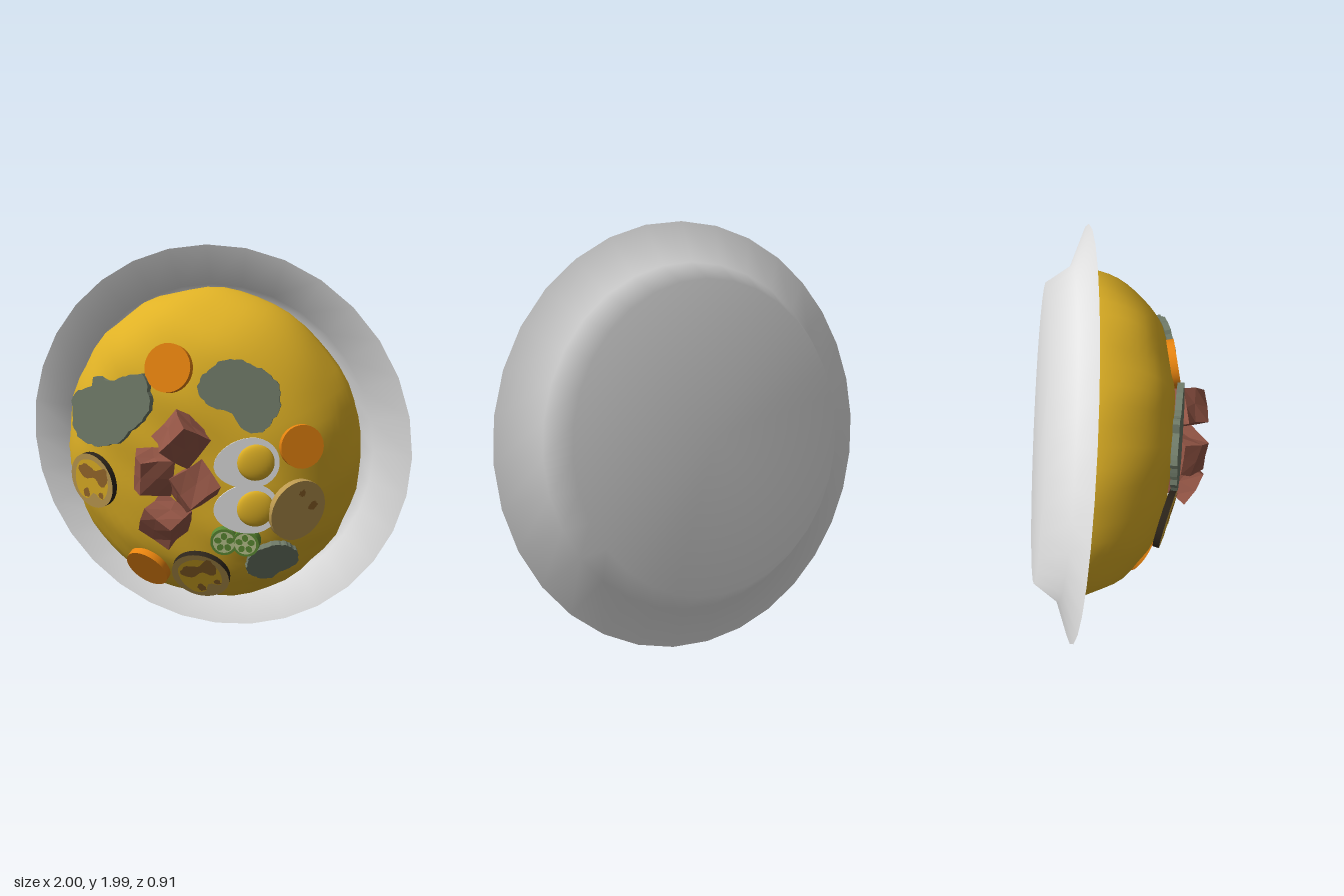
import * as THREE from 'three';
import { mergeVertices } from 'three/addons/utils/BufferGeometryUtils.js';

const mat = (name, color, extra = {}) => {
  const m = new THREE.MeshStandardMaterial({ color, ...extra });
  m.name = name;
  return m;
};

export function createModel() {
  const M = {
    white: mat('white', 0xe6e6e6, { side: THREE.DoubleSide }),
    curry: mat('curryYellow', 0xdfb125),
    carrot: mat('carrotOrange', 0xea850f),
    meat: mat('meatBrown', 0x935545, { flatShading: true }),
    leaf: mat('leafGrey', 0x6f7a68),
    potato: mat('potatoTan', 0xbd9a50),
    crust: mat('crustBrown', 0x97692b),
    skin: mat('skinDark', 0x2c241a),
    green: mat('podGreen', 0x5b8a33),
    pale: mat('podPale', 0xb9c48c),
  };
  const model = new THREE.Group();
  model.name = 'bowlOfCurry';

  const add = (parent, name, geometry, material, x = 0, y = 0, z = 0) => {
    const mesh = new THREE.Mesh(geometry, material);
    mesh.name = name;
    mesh.position.set(x, y, z);
    parent.add(mesh);
    return mesh;
  };
  const V2 = (x, y) => new THREE.Vector2(x, y);

  // Dish frame: local z points out of the dish, origin at the rim centre
  const dish = new THREE.Group();
  dish.name = 'dish';
  dish.position.set(0, 1, -0.18);
  dish.rotation.set(0.11, -0.055, 0);
  model.add(dish);

  // Plate with flared rim
  const plate = new THREE.LatheGeometry(
    [V2(0, -0.18), V2(0.725, -0.18), V2(0.81, -0.065), V2(1.003, 0)], 32);
  add(dish, 'plate', plate.rotateX(Math.PI / 2), M.white);

  // Curry mound: a flattened dome with a gently lumpy surface
  const SX = 0.95;
  const height = (x, y) => {
    const u = Math.min(Math.hypot(x / SX, y) / 0.8, 0.99);
    return 0.43 * Math.pow(1 - u ** 4, 0.6);
  };
  const profile = [V2(0.71, -0.17), V2(0.79, -0.06)];
  for (let i = 0; i <= 20; i++) {
    const r = 0.8 * Math.cos((i / 20) * Math.PI / 2);
    profile.push(V2(r, i === 0 ? 0 : 0.43 * Math.pow(1 - (r / 0.8) ** 4, 0.6)));
  }
  let mound = new THREE.LatheGeometry(profile, 56).rotateX(Math.PI / 2).scale(SX, 1, 1);
  mound.deleteAttribute('uv');
  mound.deleteAttribute('normal');
  mound = mergeVertices(mound, 1e-4);
  const mp = mound.attributes.position;
  for (let i = 0; i < mp.count; i++) {
    const x = mp.getX(i), y = mp.getY(i), z = mp.getZ(i);
    const n = Math.sin(13 * x + 5 * y) * Math.cos(11 * y - 7 * z) + 0.6 * Math.sin(23 * y + 17 * z + 9 * x);
    const k = 1 + 0.009 * n;
    mp.setXYZ(i, x * k, y * k, z * k);
  }
  mound.computeVertexNormals();
  add(dish, 'curryMound', mound, M.curry);

  // Group resting on the mound at front position (X, Y), its z along the surface normal
  const rest = (name, X, Y, lift = 0.01) => {
    let x = X, y = Y - 1;
    for (let i = 0; i < 3; i++) {
      const h = height(x, y);
      x = X + 0.055 * h;
      y = Y - 1 + 0.11 * h;
    }
    const e = 0.02;
    const n = new THREE.Vector3(
      (height(x - e, y) - height(x + e, y)) / (2 * e),
      (height(x, y - e) - height(x, y + e)) / (2 * e), 1).normalize();
    const g = new THREE.Group();
    g.name = name;
    g.quaternion.setFromUnitVectors(new THREE.Vector3(0, 0, 1), n);
    g.position.set(x, y, height(x, y)).addScaledVector(n, lift);
    dish.add(g);
    return g;
  };
  const disc = (r, t) => new THREE.CylinderGeometry(r, r, t, 32).rotateX(Math.PI / 2);

  // Smooth closed outline through [x, y] pairs in hundredths, with optional ragged edge
  const outline = (pairs, count = 32, ragged = 0) => {
    const curve = new THREE.CatmullRomCurve3(
      pairs.map(([x, y]) => new THREE.Vector3(x / 100, y / 100, 0)), true);
    return new THREE.Shape(curve.getSpacedPoints(count).slice(0, count).map((p, i) => {
      const k = 1 + ragged * (Math.sin(i * 2.3) + Math.sin(i * 1.1 + 1));
      return V2(p.x * k, p.y * k);
    }));
  };

  // Carrot slices
  for (const [x, y, r] of [[-0.09, 1.43, 0.113], [0.515, 1.09, 0.1], [-0.25, 0.425, 0.115]])
    add(rest('carrotSlice', x, y), 'carrot', disc(r, 0.035), M.carrot);

  // Ragged leaves
  const leaves = [
    [-0.375, 1.22, [[-21, -10], [-21, 7], [-11, 11], [-10, 16], [-2, 14], [17, 18], [21, 11], [21, 1], [11, -9], [4, -15], [-13, -17]]],
    [0.24, 1.31, [[-17, 8], [-11, 14], [-4, 17], [7, 14], [17, 7], [18, -6], [9, -16], [1, -13], [-3, -7], [-11, -5], [-18, 1]]],
    [0.37, 0.525, [[-12, -3], [-9, 7], [4, 11], [12, 5], [12, -3], [3, -8], [-1, -11], [-9, -8]]],
  ];
  for (const [x, y, pts] of leaves)
    add(rest('leaf', x, y, 0.0), 'leafBlade', new THREE.ExtrudeGeometry(
      outline(pts, 60, 0.018), { depth: 0.03, bevelEnabled: false }), M.leaf);

  // Potato slices with browned patches
  const soft = [[-9, -8], [-11, 0], [-7, 9], [2, 11], [9, 7], [11, -1], [6, -9], [1, -6], [-4, -10]];
  const browned = [
    [[-8, 5], [-3, 9], [3, 6], [10, 8], [11, 1], [6, -2], [3, 2], [-4, 1]],
    [[-6, -6], [-3, -4], [-2, -8], [-5, -9]],
    [[4, -6], [7, -5], [7, -8], [5, -8]],
  ];
  const slices = [[-0.5, 0.865, 0.14, 0, M.skin, 0], [0.03, 0.425, 0.143, 0, M.skin, 0.5], [0.495, 0.79, 0.148, 0.32, M.potato, 2.2]];
  slices.forEach(([x, y, r, tilt, side, spin], i) => {
    const g = rest('potatoSlice', x, y, 0.012);
    const slice = new THREE.Group();
    slice.name = 'slice';
    slice.rotation.set(0, tilt, spin);
    g.add(slice);
    add(slice, 'potato', disc(r, 0.03), [side, M.potato, M.potato]);
    if (i < 2) add(slice, 'softPatch', new THREE.ShapeGeometry(outline(soft)), M.curry, 0, 0, 0.017);
    browned.slice(i === 2 ? 1 : 0).forEach((b) =>
      add(slice, 'brownPatch', new THREE.ShapeGeometry(outline(b, 28, 0.03)), M.crust, 0, 0, 0.019));
  });

  // Green pod slices with pale flesh and seed pockets
  for (const [x, y, tilt] of [[0.165, 0.63, 0.15], [0.268, 0.63, -0.1]]) {
    const g = rest('podSlice', x, y, 0.025);
    const pod = new THREE.Group();
    pod.name = 'pod';
    pod.rotation.set(-0.15, tilt, 0);
    g.add(pod);
    add(pod, 'podRind', disc(0.064, 0.06), M.green);
    add(pod, 'podFlesh', new THREE.CircleGeometry(0.052, 24), M.pale, 0, 0, 0.032);
    for (let i = 0; i < 5; i++) {
      const a = (i / 5) * Math.PI * 2 + 0.3;
      const pocket = add(pod, 'seedPocket', new THREE.CircleGeometry(0.016, 10).scale(1.1, 0.95, 1),
        M.green, 0.03 * Math.cos(a), 0.03 * Math.sin(a), 0.034);
      pocket.rotation.z = a;
    }
  }

  // Meat chunks: uneven boxes
  const chunks = [
    [-0.01, 1.12, 0.345, 0.5, 0.5, 0.75], [-0.145, 0.955, 0.335, 0.3, 0.45, -0.15],
    [0.04, 0.895, 0.335, -0.45, 0.4, 0.7], [-0.09, 0.73, 0.335, 0.5, -0.4, -0.35],
  ];
  chunks.forEach(([x, y, z, rx, ry, rz], s) => {
    const geo = new THREE.BoxGeometry(0.165, 0.165, 0.15, 2, 2, 2);
    const p = geo.attributes.position;
    for (let i = 0; i < p.count; i++) {
      const [a, b, c] = [p.getX(i), p.getY(i), p.getZ(i)];
      const j = (k) => 0.009 * Math.sin(61 * a + 83 * b * k + 47 * c + 2.1 * s + k);
      p.setXYZ(i, a + j(1), b + j(2), c + j(3));
    }
    geo.computeVertexNormals();
    add(model, 'meatChunk', geo, M.meat, x, y, z).rotation.set(rx, ry, rz);
  });

  // Halved eggs, cut face turned slightly to the left side
  const taper = (geo) => {
    const p = geo.attributes.position;
    for (let i = 0; i < p.count; i++) p.setY(i, p.getY(i) * (1 + 0.9 * p.getX(i)));
    return geo;
  };
  for (const [y, rz] of [[1.01, 0.12], [0.8, 0.04]]) {
    const egg = new THREE.Group();
    egg.name = 'eggHalf';
    egg.position.set(0.285, y, 0.31);
    egg.rotation.set(0, 0.3, rz);
    model.add(egg);
    const shell = new THREE.SphereGeometry(1, 32, 12, 0, Math.PI * 2, Math.PI / 2, Math.PI / 2).rotateX(Math.PI / 2);
    add(egg, 'eggWhite', taper(shell.scale(0.15, 0.115, 0.1)), M.white);
    add(egg, 'eggCutFace', taper(new THREE.CircleGeometry(1, 32).scale(0.15, 0.115, 1)), M.white);
    add(egg, 'yolk', new THREE.SphereGeometry(1, 24, 16).scale(0.085, 0.083, 0.025), M.curry, 0.042, 0, 0);
  }
  return model;
}
